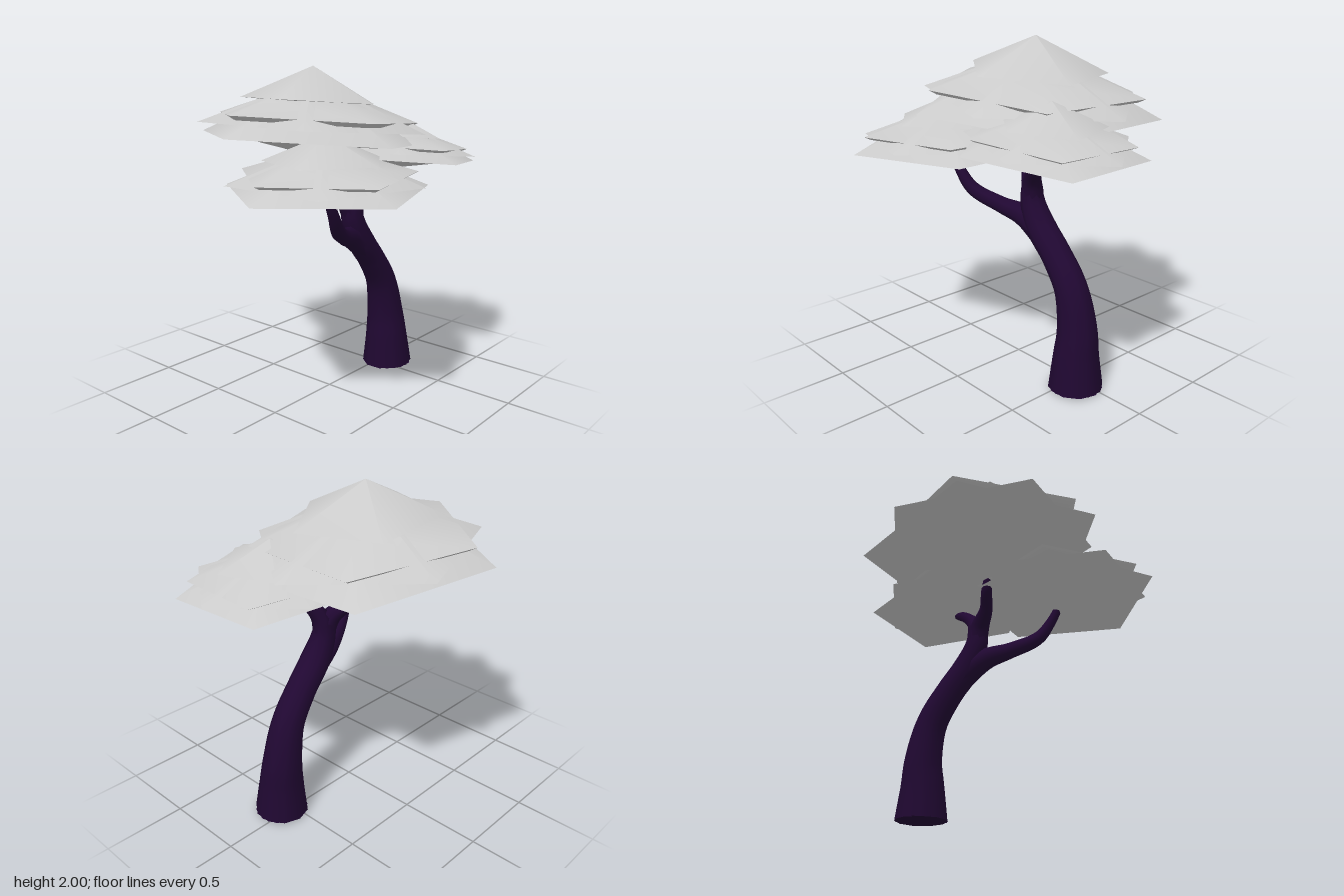
import * as THREE from 'three';
import { toCreasedNormals } from 'three/addons/utils/BufferGeometryUtils.js';

const leafMaterial = new THREE.MeshStandardMaterial({ color: 0xcccccc });
const barkMaterial = new THREE.MeshStandardMaterial({ color: 0x210833, side: THREE.DoubleSide });

const SIDES = 5;

// Each layer is a five-cornered shell: top drop, turn, rings [radius, drop], bottom drop
const LAYERS = [
  { name: 'Cap', top: 0, turn: 18, rings: [[0.44, 0.205]], bottom: 0.22 },
  { name: 'Middle', top: 0.07, turn: 38, rings: [[0.38, 0.212], [0.655, 0.306], [0.61, 0.33]], bottom: 0.34 },
  { name: 'Outer', top: 0.07, turn: -1, rings: [[0.69, 0.36]], bottom: 0.385 },
  { name: 'Lower', top: 0.075, turn: 33.5, rings: [[0.75, 0.428], [0.52, 0.437]], bottom: 0.535 },
];

// Closed faceted shell: top point, rings, bottom point
function layerGeometry({ top, turn, rings, bottom }, size, height, tilt) {
  const positions = [0, -top * height, 0];
  for (const [radius, drop] of rings) {
    for (let i = 0; i < SIDES; i++) {
      const a = THREE.MathUtils.degToRad(turn + i * 360 / SIDES);
      const x = Math.cos(a) * radius * size;
      positions.push(x, -drop * height - tilt * x, Math.sin(a) * radius * size);
    }
  }
  positions.push(0, -bottom * height, 0);
  const index = [];
  const last = positions.length / 3 - 1;
  const at = (ring, i) => 1 + ring * SIDES + i % SIDES;
  for (let i = 0; i < SIDES; i++) {
    index.push(0, at(0, i + 1), at(0, i));
    for (let r = 0; r + 1 < rings.length; r++) {
      index.push(at(r, i), at(r, i + 1), at(r + 1, i));
      index.push(at(r, i + 1), at(r + 1, i + 1), at(r + 1, i));
    }
    index.push(last, at(rings.length - 1, i), at(rings.length - 1, i + 1));
  }
  const geometry = new THREE.BufferGeometry();
  geometry.setAttribute('position', new THREE.Float32BufferAttribute(positions, 3));
  geometry.setIndex(index);
  return toCreasedNormals(geometry, 0.75);
}

function foliage(name, apex, size, height, tilt) {
  const group = new THREE.Group();
  group.name = name;
  group.position.set(...apex);
  for (const layer of LAYERS) {
    const mesh = new THREE.Mesh(layerGeometry(layer, size, height, tilt), leafMaterial);
    mesh.name = `${name}${layer.name}`;
    group.add(mesh);
  }
  return group;
}

// Tapered tube through points [x, y, z, radius]
function limb(name, points, segments, sides) {
  const curve = new THREE.CatmullRomCurve3(points.map(([x, y, z]) => new THREE.Vector3(x, y, z)));
  const geometry = new THREE.TubeGeometry(curve, segments, 1, sides, false);
  const position = geometry.attributes.position;
  const v = new THREE.Vector3();
  for (let i = 0; i <= segments; i++) {
    const u = i / segments;
    const center = curve.getPointAt(u);
    const t = curve.getUtoTmapping(u) * (points.length - 1);
    const k = Math.min(Math.floor(t), points.length - 2);
    const radius = THREE.MathUtils.lerp(points[k][3], points[k + 1][3], t - k);
    for (let j = 0; j <= sides; j++) {
      const n = i * (sides + 1) + j;
      v.fromBufferAttribute(position, n).sub(center).multiplyScalar(radius).add(center);
      position.setXYZ(n, v.x, v.y, v.z);
    }
  }
  const mesh = new THREE.Mesh(geometry, barkMaterial);
  mesh.name = name;
  return mesh;
}

export function createModel() {
  const tree = new THREE.Group();
  tree.name = 'tree';

  // Leaning trunk, flared at the foot
  tree.add(limb('trunk', [
    [0.555, 0.01, 0.05, 0.163], [0.55, 0.2, 0.045, 0.138], [0.545, 0.36, 0.035, 0.12],
    [0.49, 0.6, 0.035, 0.098], [0.37, 0.78, 0.04, 0.09], [0.24, 0.93, 0.047, 0.09],
    [0.17, 1.07, 0.045, 0.072], [0.165, 1.18, 0.04, 0.06], [0.165, 1.235, 0.04, 0],
  ], 28, 10));

  const base = new THREE.Mesh(new THREE.CircleGeometry(0.16, 10), barkMaterial);
  base.name = 'trunkBase';
  base.rotation.x = Math.PI / 2;
  base.position.set(0.555, 0.01, 0.05);
  tree.add(base);

  // Three branches, one under each clump of leaves
  tree.add(limb('lowBranch', [
    [0.28, 0.87, 0.045, 0.08], [0.12, 0.965, 0.065, 0.068], [-0.02, 1.01, 0.12, 0.05],
    [-0.18, 1.095, 0.21, 0.042], [-0.25, 1.19, 0.24, 0.033], [-0.3, 1.28, 0.25, 0.027],
    [-0.305, 1.3, 0.25, 0],
  ], 22, 8));
  tree.add(limb('backBranch', [
    [0.17, 1.08, 0.045, 0.065], [0.13, 1.18, 0.02, 0.058], [0.05, 1.25, -0.04, 0.04],
    [0.0, 1.33, -0.115, 0.033], [-0.02, 1.395, -0.13, 0.028], [-0.02, 1.41, -0.13, 0],
  ], 20, 8));
  tree.add(limb('leftBranch', [
    [0.17, 1.08, 0.045, 0.065], [0.185, 1.18, 0.06, 0.056], [0.24, 1.27, 0.1, 0.043],
    [0.33, 1.35, 0.15, 0.035], [0.41, 1.395, 0.17, 0.027], [0.425, 1.405, 0.17, 0],
  ], 20, 8));

  // Layered leaf clumps
  tree.add(foliage('topFoliage', [0.005, 2, -0.13], 1, 1, 0.085));
  tree.add(foliage('rightFoliage', [-0.325, 1.655, 0.25], 0.805, 0.72, 0));
  tree.add(foliage('leftFoliage', [0.45, 1.7, 0.17], 0.71, 0.61, 0.1));
  return tree;
}
